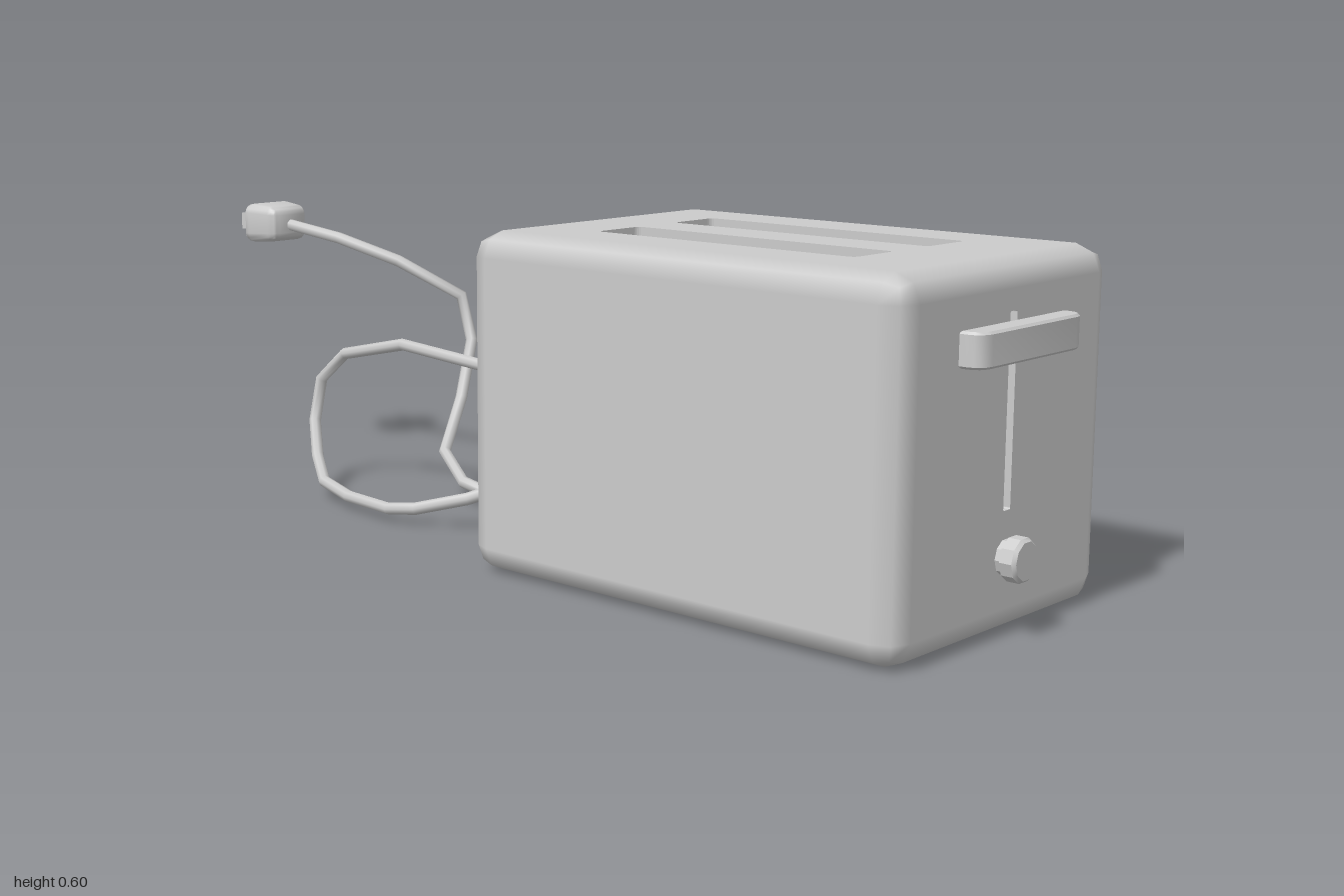
import * as THREE from 'three';
import { RoundedBoxGeometry } from 'three/addons/geometries/RoundedBoxGeometry.js';
import { toCreasedNormals } from 'three/addons/utils/BufferGeometryUtils.js';

const grey = new THREE.MeshStandardMaterial({ color: 0xcccccc });
const greyDouble = new THREE.MeshStandardMaterial({ color: 0xcccccc, side: THREE.DoubleSide });

function addMesh(parent, name, geometry, x = 0, y = 0, z = 0, material = grey) {
  const mesh = new THREE.Mesh(geometry, material);
  mesh.name = name;
  mesh.position.set(x, y, z);
  parent.add(mesh);
  return mesh;
}

// Removes the triangles whose three corners all pass the test
function dropTriangles(geometry, test) {
  const g = geometry.index ? geometry.toNonIndexed() : geometry;
  const p = g.attributes.position, n = g.attributes.normal;
  const pos = [], nor = [];
  for (let i = 0; i < p.count; i += 3) {
    const corners = [i, i + 1, i + 2];
    if (corners.every(k => test(p.getX(k), p.getY(k), p.getZ(k)))) continue;
    for (const k of corners) {
      pos.push(p.getX(k), p.getY(k), p.getZ(k));
      nor.push(n.getX(k), n.getY(k), n.getZ(k));
    }
  }
  const out = new THREE.BufferGeometry();
  out.setAttribute('position', new THREE.Float32BufferAttribute(pos, 3));
  out.setAttribute('normal', new THREE.Float32BufferAttribute(nor, 3));
  return out;
}

// Rounded rectangle outline centred on (cx, cy)
function roundedRect(cx, cy, w, h, r) {
  const s = new THREE.Shape();
  const x = w / 2 - r, y = h / 2 - r;
  s.absarc(cx + x, cy + y, r, 0, Math.PI / 2);
  s.absarc(cx - x, cy + y, r, Math.PI / 2, Math.PI);
  s.absarc(cx - x, cy - y, r, Math.PI, Math.PI * 1.5);
  s.absarc(cx + x, cy - y, r, Math.PI * 1.5, Math.PI * 2);
  s.closePath();
  return s;
}

// Flat panel with openings, each opening backed by an open pocket
function pocketPanel(name, w, h, openings, depth) {
  const group = new THREE.Group();
  group.name = name;
  const outline = new THREE.Shape([
    new THREE.Vector2(-w / 2, -h / 2), new THREE.Vector2(w / 2, -h / 2),
    new THREE.Vector2(w / 2, h / 2), new THREE.Vector2(-w / 2, h / 2)]);
  outline.holes = openings;
  addMesh(group, name + 'Surface', new THREE.ShapeGeometry(outline, 3));
  for (const shape of openings) {
    const solid = new THREE.ExtrudeGeometry(shape, { depth, bevelEnabled: false, curveSegments: 3 });
    const pocket = dropTriangles(solid, (x, y, z) => z > depth - 1e-4);
    addMesh(group, name + 'Pocket', pocket, 0, 0, -depth, greyDouble);
  }
  return group;
}

const W = 0.6, H = 0.6, D = 0.9, R = 0.045, CZ = 0.51;

function createBody() {
  const body = new THREE.Group();
  body.name = 'body';
  // Housing, with its flat top and front left open for the panels
  const shell = dropTriangles(new RoundedBoxGeometry(W, H, D, 1, R),
    (x, y, z) => y > H / 2 - 1e-4 || z > D / 2 - 1e-4);
  addMesh(body, 'housing', shell, 0, H / 2, CZ);

  // Top panel with two bread slots
  const slots = [-0.102, 0.098].map(x => roundedRect(x, 0.0075, 0.105, 0.535, 0.012));
  const top = pocketPanel('topPanel', W - 2 * R, D - 2 * R, slots, 0.5);
  top.position.set(0, H, CZ);
  top.rotation.x = -Math.PI / 2;
  body.add(top);

  // Guide ribs on both walls of each slot, wide and narrow in turn
  for (const cx of [-0.102, 0.098]) for (const side of [-1, 1]) for (let i = 0; i < 9; i++) {
    const size = i % 2 ? 0.025 : 0.012;
    addMesh(top, 'guideRib', new THREE.BoxGeometry(size, size, 0.47),
      cx + side * (0.0525 - size / 2), 0.195 - i * 0.0475, -0.255);
  }

  // Front panel with the lever track
  const front = pocketPanel('frontPanel', W - 2 * R, H - 2 * R,
    [roundedRect(0, 0.0625, 0.02, 0.315, 0.003)], 0.025);
  front.position.set(0, H / 2, CZ + D / 2);
  body.add(front);
  return body;
}

function createControls() {
  const controls = new THREE.Group();
  controls.name = 'controls';
  // Lever handle, rounded at its front corners
  const s = new THREE.Shape();
  s.moveTo(-0.15, 0);
  s.lineTo(0.15, 0);
  s.lineTo(0.15, -0.015);
  s.quadraticCurveTo(0.148, -0.041, 0.12, -0.042);
  s.lineTo(-0.12, -0.042);
  s.quadraticCurveTo(-0.148, -0.041, -0.15, -0.015);
  const handle = new THREE.ExtrudeGeometry(s, {
    depth: 0.049, curveSegments: 4, bevelThickness: 0.004, bevelSize: 0.004, bevelOffset: -0.004, bevelSegments: 1 });
  handle.rotateX(-Math.PI / 2);
  addMesh(controls, 'leverHandle', toCreasedNormals(handle, 0.6), 0, 0.452, 0.958);
  addMesh(controls, 'leverStem', new THREE.BoxGeometry(0.016, 0.03, 0.04), 0, 0.476, 0.955);

  // Ten-sided browning knob
  const profile = [[0.03, 0], [0.03, 0.012], [0.037, 0.014], [0.037, 0.036], [0.032, 0.042], [0, 0.042]];
  const knob = new THREE.LatheGeometry(profile.map(p => new THREE.Vector2(...p)), 10, Math.PI / 2);
  knob.rotateX(Math.PI / 2);
  addMesh(controls, 'knob', toCreasedNormals(knob, 0.5), 0, 0.13, 0.958);
  return controls;
}

function createCord() {
  const cord = new THREE.Group();
  cord.name = 'powerCord';
  // Strain relief collar
  const collar = new THREE.CylinderGeometry(0.024, 0.035, 0.035, 12);
  collar.rotateX(-Math.PI / 2);
  addMesh(cord, 'strainRelief', collar, 0, 0.265, 0.046);

  // Looping cable, one ring per path point
  const points = [
    [0, 0.265, 0.04], [0, 0.295, -0.2], [-0.005, 0.312, -0.43], [-0.01, 0.275, -0.6],
    [-0.015, 0.215, -0.67], [-0.035, 0.13, -0.67], [-0.08, 0.07, -0.61], [-0.122, 0.035, -0.54],
    [-0.145, 0.024, -0.44], [-0.165, 0.026, -0.3], [-0.15, 0.033, -0.24], [-0.1, 0.058, -0.15],
    [0, 0.09, -0.085], [0.06, 0.103, -0.065], [0.108, 0.095, -0.09], [0.118, 0.075, -0.12],
    [0.09, 0.045, -0.18], [0.042, 0.032, -0.24], [0.035, 0.045, -0.3], [0.065, 0.09, -0.385],
    [0.165, 0.18, -0.44], [0.23, 0.29, -0.475], [0.23, 0.38, -0.505], [0.13, 0.455, -0.59],
    [0.09, 0.495, -0.73], [0.078, 0.515, -0.89],
  ].map(p => new THREE.Vector3(...p));
  const path = new THREE.CatmullRomCurve3(points);
  path.getPointAt = (t, target) => path.getPoint(t, target);
  path.getTangentAt = (t, target) => path.getTangent(t, target);
  addMesh(cord, 'cable', new THREE.TubeGeometry(path, points.length - 1, 0.012, 8));

  // Plug, narrowing towards the cable
  const plug = new RoundedBoxGeometry(0.126, 0.085, 0.09, 2, 0.02);
  const p = plug.attributes.position;
  for (let i = 0; i < p.count; i++) {
    const t = (p.getZ(i) + 0.045) / 0.09;
    p.setX(i, p.getX(i) * (1 - 0.28 * t));
    p.setY(i, p.getY(i) * (1 - 0.15 * t));
  }
  addMesh(cord, 'plug', toCreasedNormals(plug, 0.9), 0.078, 0.516, -0.918);
  for (const side of [-1, 1]) {
    addMesh(cord, 'prong', new THREE.BoxGeometry(0.009, 0.034, 0.05), 0.078 + side * 0.028, 0.516, -0.975);
  }
  return cord;
}

export function createModel() {
  const model = new THREE.Group();
  model.name = 'toaster';
  model.add(createBody(), createControls(), createCord());
  return model;
}
